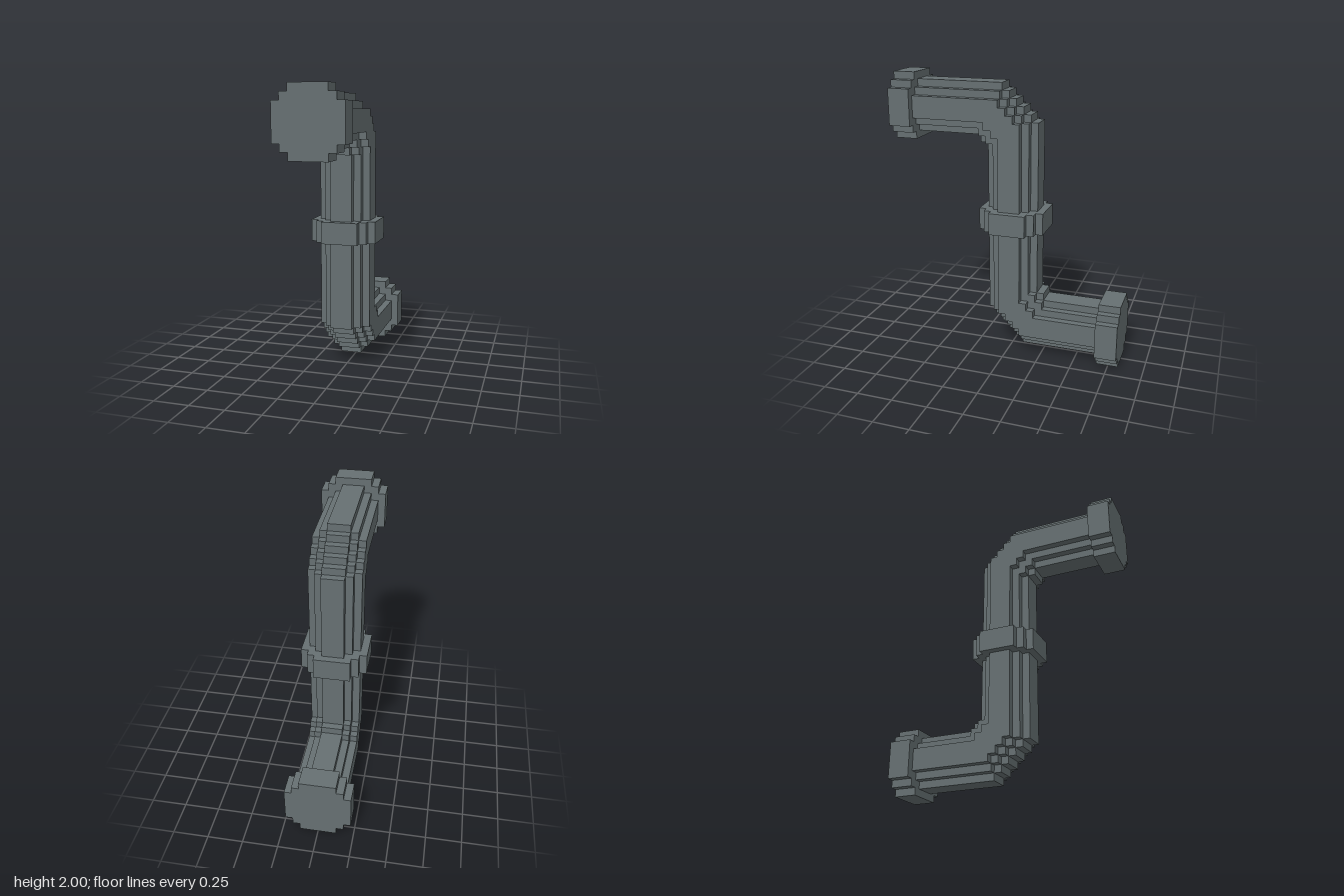
import * as THREE from 'three';

const V = 2 / 39; // one block of the stepped grid

function extrude(points, depth) {
  const shape = new THREE.Shape(points.map(([a, b]) => new THREE.Vector2(a * V, b * V)));
  const geo = new THREE.ExtrudeGeometry(shape, { depth: depth * V, bevelEnabled: false });
  return geo.translate(0, 0, -depth * V / 2);
}

// Stepped octagon, nine blocks across and three thick
function flangeGeometry() {
  const quarter = [[4.5, 2.5], [3.5, 2.5], [3.5, 3.5], [2.5, 3.5], [2.5, 4.5]];
  const flip = (list, sx, sy) => list.map(([x, y]) => [x * sx, y * sy]);
  const back = [...quarter].reverse();
  return extrude([
    ...quarter, ...flip(back, -1, 1), ...flip(quarter, -1, -1), ...flip(back, 1, -1),
  ], 3);
}

// Inside corner of the upper elbow as [z, y], for each layer from the middle outwards
const innerCorner = [
  [[3, 30], [4, 30], [4, 31], [13.5, 31]],
  [[2, 30], [3, 30], [3, 31], [4, 31], [4, 32], [13.5, 32]],
  [[1, 31], [2, 31], [2, 32], [3, 32], [3, 33], [13.5, 33]],
];

// Z-shaped side profile of one layer; the lower half is the upper half turned by 180 degrees
function pipeProfile(layer) {
  const half = [...innerCorner[layer], [13.5, 38 - layer]];
  for (let k = 0; k <= 5 - layer; k++) {
    if (k > 0) half.push([2 - k, 38 - layer - k]);
    half.push([1 - k, 38 - layer - k]);
  }
  return [...half, ...half.map(([z, y]) => [-1 - z, 39 - y])];
}

export function createModel() {
  const model = new THREE.Group();
  model.name = 'bentPipe';
  const metal = new THREE.MeshStandardMaterial({ color: 0x667072 });
  metal.name = 'greyMetal';

  const add = (name, geometry, parent = model) => {
    const mesh = new THREE.Mesh(geometry, metal);
    mesh.name = name;
    parent.add(mesh);
    return mesh;
  };

  // Pipe: nested layers 3, 5 and 7 blocks wide give the stepped round section
  const pipe = new THREE.Group();
  pipe.name = 'pipe';
  model.add(pipe);
  ['pipeCore', 'pipeMiddleLayer', 'pipeOuterLayer'].forEach((name, layer) => {
    add(name, extrude(pipeProfile(layer), 3 + 2 * layer).rotateY(-Math.PI / 2), pipe);
  });

  // Flanges at both ends and a collar halfway up
  add('upperFlange', flangeGeometry()).position.set(0, 34.5 * V, 14.5 * V);
  add('lowerFlange', flangeGeometry()).position.set(0, 4.5 * V, -14.5 * V);
  add('middleCollar', flangeGeometry().rotateX(Math.PI / 2)).position.set(0, 19.5 * V, -0.5 * V);

  return model;
}
